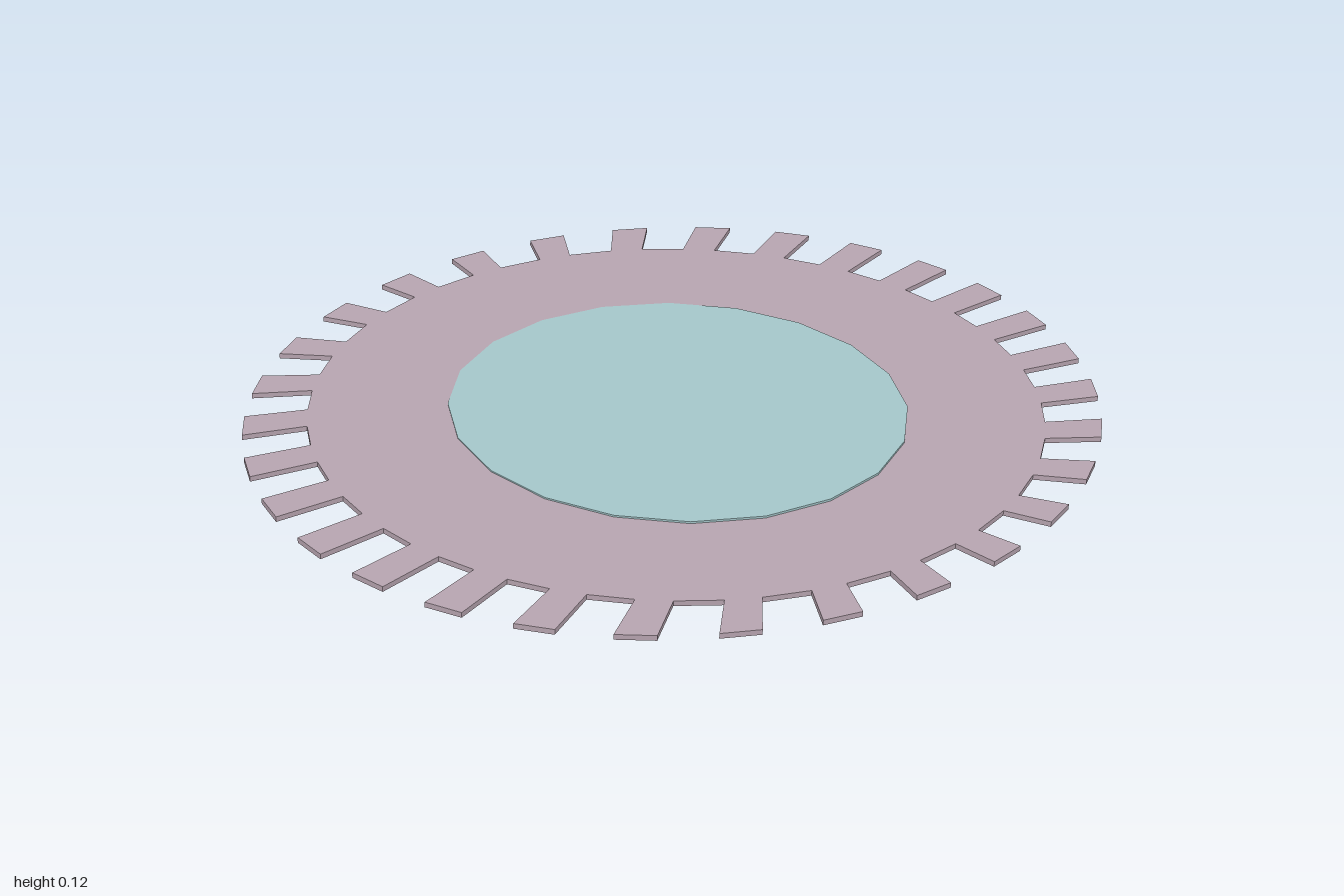
import * as THREE from 'three';

const rad = THREE.MathUtils.degToRad;

// Point on an ellipse, angle in degrees clockwise from the back
const onEllipse = (deg, rx, rz) =>
  new THREE.Vector2(rx * Math.sin(rad(deg)), rz * Math.cos(rad(deg)));

// Flat plate lying in the xz plane, extruded upwards
function plate(name, points, depth, color) {
  const geometry = new THREE.ExtrudeGeometry(new THREE.Shape(points), { depth, bevelEnabled: false });
  geometry.rotateX(-Math.PI / 2);
  const mesh = new THREE.Mesh(geometry, new THREE.MeshStandardMaterial({ color, flatShading: true }));
  mesh.name = name;
  return mesh;
}

export function createModel() {
  const model = new THREE.Group();
  model.name = 'toothedDisc';
  const thickness = 0.012;

  // Toothed ring: 30 teeth, slightly unevenly spaced around the ellipse
  const outline = [];
  for (let i = 0; i < 30; i++) {
    const even = 2.5 + i * 12;
    const a = even - 1.8 * Math.sin(rad(2 * (even - 15)));
    outline.push(
      onEllipse(a - 2.7, 0.8, 0.838), onEllipse(a - 2.6, 0.9, 1),
      onEllipse(a + 2.6, 0.9, 1), onEllipse(a + 2.7, 0.8, 0.838));
  }
  model.add(plate('toothedPlate', outline, thickness, 0xb5a3ae));

  // Twenty-sided centre disc, a little prouder on its left side
  const rim = [];
  for (let i = 0; i < 20; i++) rim.push(onEllipse(5 + i * 18, 0.512, 0.516));
  const centre = plate('centreDisc', rim, 0.007, 0xa3c5c8);
  centre.position.y = thickness - 0.004;
  centre.rotation.z = 0.004;
  model.add(centre);

  // Whole disc leans down towards +x
  const tilt = Math.asin(0.105 / 1.8);
  model.rotation.z = -tilt;
  model.position.y = 0.9 * Math.sin(tilt);

  const root = new THREE.Group();
  root.add(model);
  return root;
}
